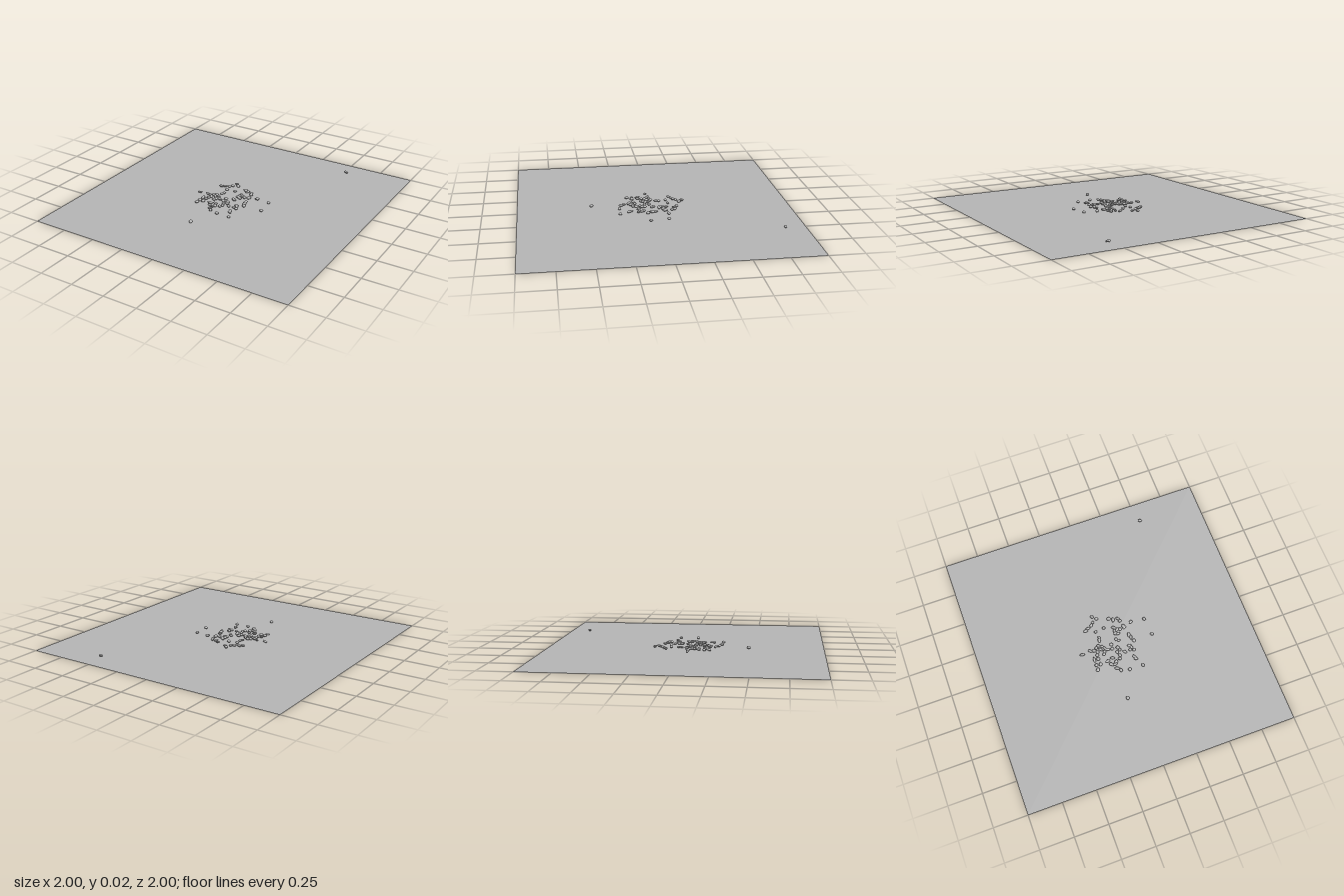
import * as THREE from 'three';
import { mergeVertices } from 'three/addons/utils/BufferGeometryUtils.js';

// small seeded generator for repeatable variation
let seed = 7;
const rand = () => (seed = (seed * 16807) % 2147483647) / 2147483647;
const vary = (a, b) => a + (b - a) * rand();

// pebble centres as x, z pairs, in hundredths of a unit
const strays = [
  52.5, -84.9, -6.4, 45.7, 26.2, -7.3, 27.3, 5.6, -26.3, 3.4, 15.8, -8.4,
  12.7, 26.1, 2.5, 25.8, -3.8, 24, -5.9, 21.9,
];
const cluster = [
  -9.7, -22, -7, -19.8, -10.7, -17.7, -12.3, -16, -15.5, -14.5, -17.7, -13.1,
  -11.2, -9.9, -4.6, -10.9, 1.2, -16.6, 4.3, -14.5, 8, -14, 8.7, -12.2,
  9.6, -7.5, 10.2, -6.2, 2.6, -8.6, 4.3, -6.2, 6.6, -6, 2.1, -6,
  -10.2, -5, -10.8, -2.8, 3.8, -3, 2.1, -3.8, 1, 0.5, 2.7, 2.1,
  11.2, 0.5, 11.8, 3.2, 13.2, 5.9, -3.8, 3.2, -4.3, 6.4, -19.8, 2.7,
  -17.1, 3.7, -15, 2.1, -12.9, 1, -10.8, 2.2, -9.1, 4.3, -12.4, 4.3,
  -15, 5.4, -16.1, 7.5, -16.6, 10.2, -19.3, 10.2, -7.5, 5.9, -10.2, 7,
  0, 7, 1, 9.1, 3.8, 11.8, 8.6, 8.6, 9.6, 10.2, 8, 11.8,
  10.7, 12.9, -6.4, 13.4, -10.7, 14.5, -16.1, 15, -19.3, 14.5, -19.3, 18.2,
  -8.6, 17.7, -6.4, 18.7, -4.8, 17.1, -1.6, 15.5, -0.5, 12.9, 9.1, 18.2,
  9.6, 19.8, -11.2, 8.6, -1.6, 10.2,
];

// a rounded, slightly lumpy stone of unit radius
function pebbleGeometry() {
  let geo = new THREE.IcosahedronGeometry(1, 2);
  geo.deleteAttribute('normal');
  geo.deleteAttribute('uv');
  geo = mergeVertices(geo);
  const p = geo.attributes.position;
  const v = new THREE.Vector3();
  const [a, b, c] = [vary(0, 6), vary(0, 6), vary(0, 6)];
  for (let i = 0; i < p.count; i++) {
    v.fromBufferAttribute(p, i);
    const lump = 1 + 0.1 * Math.sin(2.5 * v.x + a) + 0.08 * Math.sin(3 * v.y + b) + 0.1 * Math.sin(2.5 * v.z + c);
    v.multiplyScalar(lump);
    p.setXYZ(i, v.x, v.y, v.z);
  }
  geo.computeVertexNormals();
  return geo;
}

export function createModel() {
  const model = new THREE.Group();
  model.name = 'scatteredPebbles';

  const groundGrey = new THREE.MeshStandardMaterial({ color: 0xb4b4b4, side: THREE.DoubleSide });
  groundGrey.name = 'ground grey';
  const stoneGrey = new THREE.MeshStandardMaterial({ color: 0xb0b0b0 });
  stoneGrey.name = 'stone grey';

  // flat square sheet
  const sheet = new THREE.Mesh(new THREE.PlaneGeometry(2, 2).rotateX(-Math.PI / 2), groundGrey);
  sheet.name = 'groundSheet';
  model.add(sheet);

  // pebbles drawn from a few stone shapes, each turned and sized differently
  const shapes = Array.from({ length: 5 }, pebbleGeometry);
  const addPebbles = (name, spots) => {
    const group = new THREE.Group();
    group.name = name;
    for (let i = 0; i < spots.length; i += 2) {
      const pebble = new THREE.Mesh(shapes[(i / 2) % shapes.length], stoneGrey);
      pebble.name = 'pebble';
      pebble.position.set(spots[i] / 100, vary(0.012, 0.015), spots[i + 1] / 100);
      pebble.scale.set(vary(0.014, 0.018), vary(0.007, 0.009), vary(0.01, 0.013));
      pebble.rotation.set(vary(-0.2, 0.2), vary(0, Math.PI), vary(-0.2, 0.2));
      group.add(pebble);
    }
    model.add(group);
  };
  addPebbles('strayPebbles', strays);
  addPebbles('pebbleCluster', cluster);

  return model;
}
